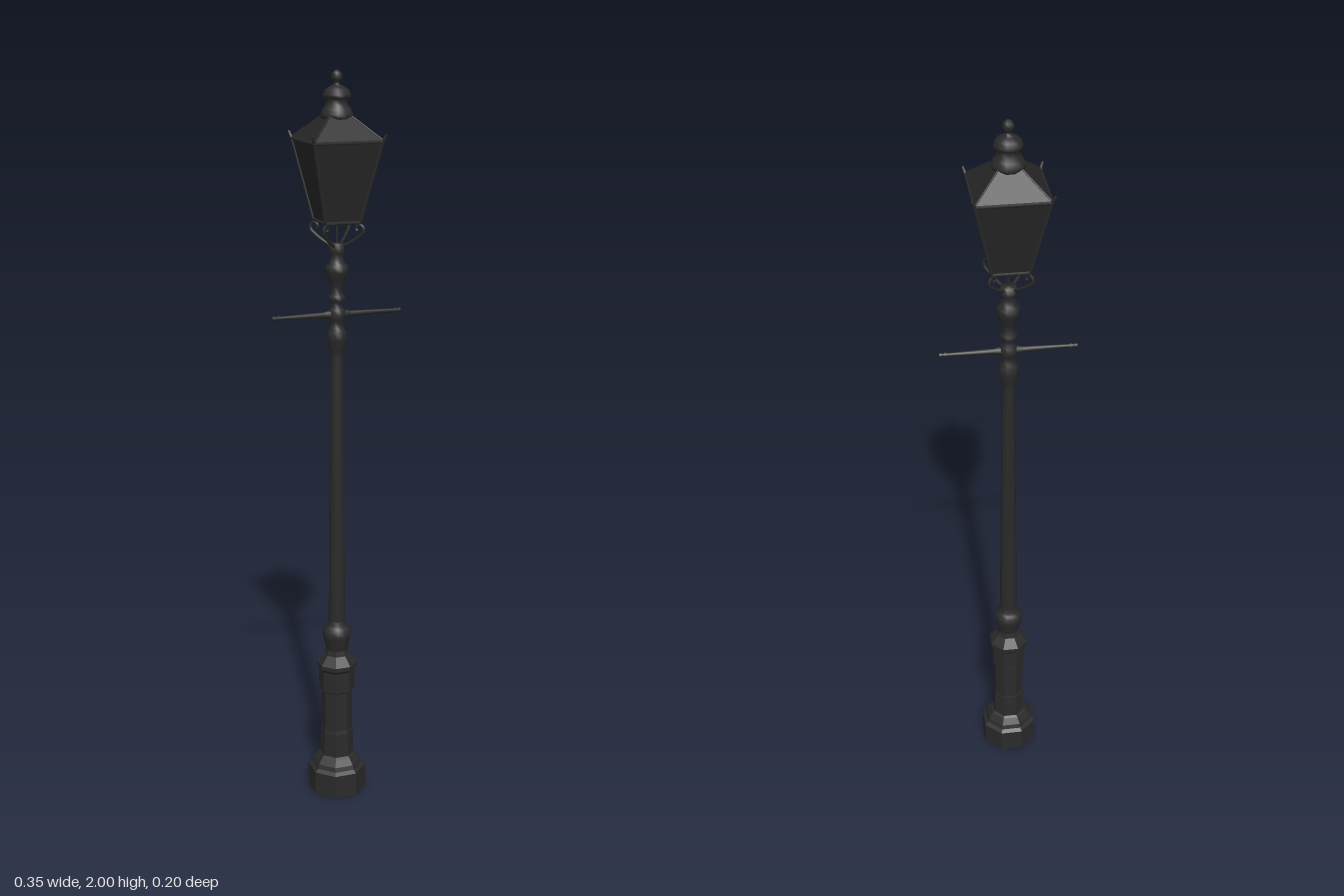
import * as THREE from 'three';

const iron = new THREE.MeshStandardMaterial({ color: 0x2a2a2a });
iron.name = 'blackIron';
const ironFlat = iron;
const pane = new THREE.MeshStandardMaterial({ color: 0x262626, side: THREE.DoubleSide });
pane.name = 'darkPane';

function add(parent, name, geometry, material = iron) {
  const mesh = new THREE.Mesh(geometry, material);
  mesh.name = name;
  parent.add(mesh);
  return mesh;
}

// Turned part from [radius, height] pairs; every band keeps its own crisp edge
function turned(parent, name, points, sides, faceted = false) {
  const k = faceted ? 1 / Math.cos(Math.PI / sides) : 1;
  const profile = points.map(([r, y]) => new THREE.Vector2(r * k, y));
  let geo = new THREE.LatheGeometry(profile, sides, Math.PI / sides);
  if (faceted) {
    geo = geo.toNonIndexed();
    geo.computeVertexNormals();
  }
  return add(parent, name, geo, ironFlat);
}

// Four-sided tapered shell, sizes given as half widths
function squareShell(parent, name, top, bottom, y0, y1, material) {
  const s = Math.SQRT2;
  let geo = new THREE.CylinderGeometry(top * s, bottom * s, y1 - y0, 4, 1, true, Math.PI / 4);
  geo = geo.toNonIndexed();
  geo.computeVertexNormals();
  geo.translate(0, (y0 + y1) / 2, 0);
  return add(parent, name, geo, material);
}

// Straight bar between two points
function bar(parent, name, a, b, r0, r1 = r0, sides = 6) {
  const dir = b.clone().sub(a);
  const mesh = add(parent, name, new THREE.CylinderGeometry(r1, r0, dir.length(), sides));
  mesh.position.copy(a).addScaledVector(dir, 0.5);
  mesh.quaternion.setFromUnitVectors(new THREE.Vector3(0, 1, 0), dir.normalize());
  return mesh;
}

const V = (x, y, z) => new THREE.Vector3(x, y, z);
const corners = [[1, 1], [1, -1], [-1, -1], [-1, 1]];

export function createModel() {
  const model = new THREE.Group();
  model.name = 'streetLamp';

  // Octagonal plinth and pedestal
  turned(model, 'plinth', [[0, 0], [0.075, 0], [0.075, 0.068], [0.066, 0.076],
    [0.062, 0.088], [0.05, 0.105], [0.044, 0.11]], 8, true);
  turned(model, 'pedestal', [[0.044, 0.1], [0.042, 0.18], [0.04, 0.19], [0.04, 0.305],
    [0.046, 0.31], [0.046, 0.37], [0.052, 0.378], [0.052, 0.39], [0.044, 0.4],
    [0.032, 0.415], [0.029, 0.43]], 8, true);

  // Hatch hinges on the back of the pedestal
  for (const y of [0.16, 0.3]) {
    add(model, 'hatchHinge', new THREE.BoxGeometry(0.02, 0.015, 0.01)).position.set(0, y, -0.043);
  }

  // Bulb moulding, tapering shaft
  turned(model, 'lowerMoulding', [[0.029, 0.425], [0.032, 0.44], [0.038, 0.465], [0.04, 0.475],
    [0.039, 0.49], [0.031, 0.497], [0.026, 0.505], [0.023, 0.52]], 12);
  turned(model, 'shaft', [[0.024, 0.5], [0.022, 0.8], [0.02, 1.0], [0.0165, 1.28]], 10);

  // Rings and vase mouldings of the neck
  turned(model, 'neck', [[0.016, 1.265], [0.017, 1.28], [0.022, 1.295], [0.026, 1.315],
    [0.026, 1.335], [0.018, 1.345], [0.016, 1.36], [0.021, 1.368], [0.023, 1.38],
    [0.021, 1.394], [0.015, 1.4], [0.015, 1.413], [0.022, 1.418], [0.022, 1.43],
    [0.015, 1.437], [0.016, 1.455], [0.023, 1.475], [0.03, 1.492], [0.03, 1.508],
    [0.02, 1.516], [0.017, 1.53], [0.017, 1.54], [0.021, 1.545], [0.021, 1.566],
    [0, 1.568]], 12);

  // Ladder bar with collars and end knobs
  for (const s of [-1, 1]) {
    const y = 1.38;
    bar(model, 'ladderBar', V(s * 0.012, y, 0), V(s * 0.172, y, 0), 0.0085, 0.0045, 8);
    bar(model, 'ladderBarSocket', V(s * 0.015, y, 0), V(s * 0.036, y, 0), 0.012, 0.009, 8);
    bar(model, 'ladderBarCollar', V(s * 0.158, y, 0), V(s * 0.164, y, 0), 0.007, 0.007, 8);
    bar(model, 'ladderBarKnob', V(s * 0.169, y, 0), V(s * 0.177, y, 0), 0.006, 0.006, 8);
  }

  // Gas pipe and four scrolled brackets under the lantern
  bar(model, 'supplyPipe', V(0, 1.56, 0), V(0, 1.66, 0), 0.003);
  for (const [sx, sz] of corners) {
    const path = [[0.012, 1.56], [0.026, 1.57], [0.042, 1.585], [0.053, 1.6], [0.053, 1.612],
      [0.045, 1.618], [0.038, 1.61], [0.041, 1.602]].map(([r, y]) => V(sx * r, y, sz * r));
    add(model, 'scrollBracket',
      new THREE.TubeGeometry(new THREE.CatmullRomCurve3(path), 28, 0.0042, 6));
  }

  // Lantern panes, corner bars and frames
  const lantern = new THREE.Group();
  lantern.name = 'lantern';
  model.add(lantern);
  squareShell(lantern, 'panes', 0.09, 0.046, 1.623, 1.826, pane);
  corners.forEach(([x, z], i) => {
    const [nx, nz] = corners[(i + 1) % 4];
    bar(lantern, 'cornerBar', V(x * 0.046, 1.62, z * 0.046), V(x * 0.09, 1.828, z * 0.09), 0.0045);
    bar(lantern, 'bottomRail', V(x * 0.046, 1.624, z * 0.046), V(nx * 0.046, 1.624, nz * 0.046), 0.005);
    bar(lantern, 'topRail', V(x * 0.091, 1.828, z * 0.091), V(nx * 0.091, 1.828, nz * 0.091), 0.0045);
    bar(lantern, 'roofHip', V(x * 0.09, 1.832, z * 0.09), V(x * 0.03, 1.887, z * 0.03), 0.0025);
    bar(lantern, 'cornerTip', V(x * 0.088, 1.822, z * 0.088), V(x * 0.097, 1.846, z * 0.097), 0.006, 0.003);
  });
  squareShell(lantern, 'roof', 0.028, 0.092, 1.83, 1.889, pane);

  // Ventilator and finial
  turned(lantern, 'ventilator', [[0.034, 1.872], [0.041, 1.884], [0.042, 1.892], [0.036, 1.905],
    [0.029, 1.914], [0.027, 1.928], [0.035, 1.932], [0.036, 1.94], [0.03, 1.952],
    [0.018, 1.96], [0.008, 1.964], [0.007, 1.972]], 12);
  turned(lantern, 'finial', [[0.007, 1.968], [0.013, 1.976], [0.0145, 1.984], [0.012, 1.993],
    [0.005, 1.999], [0, 2]], 8);

  return model;
}
